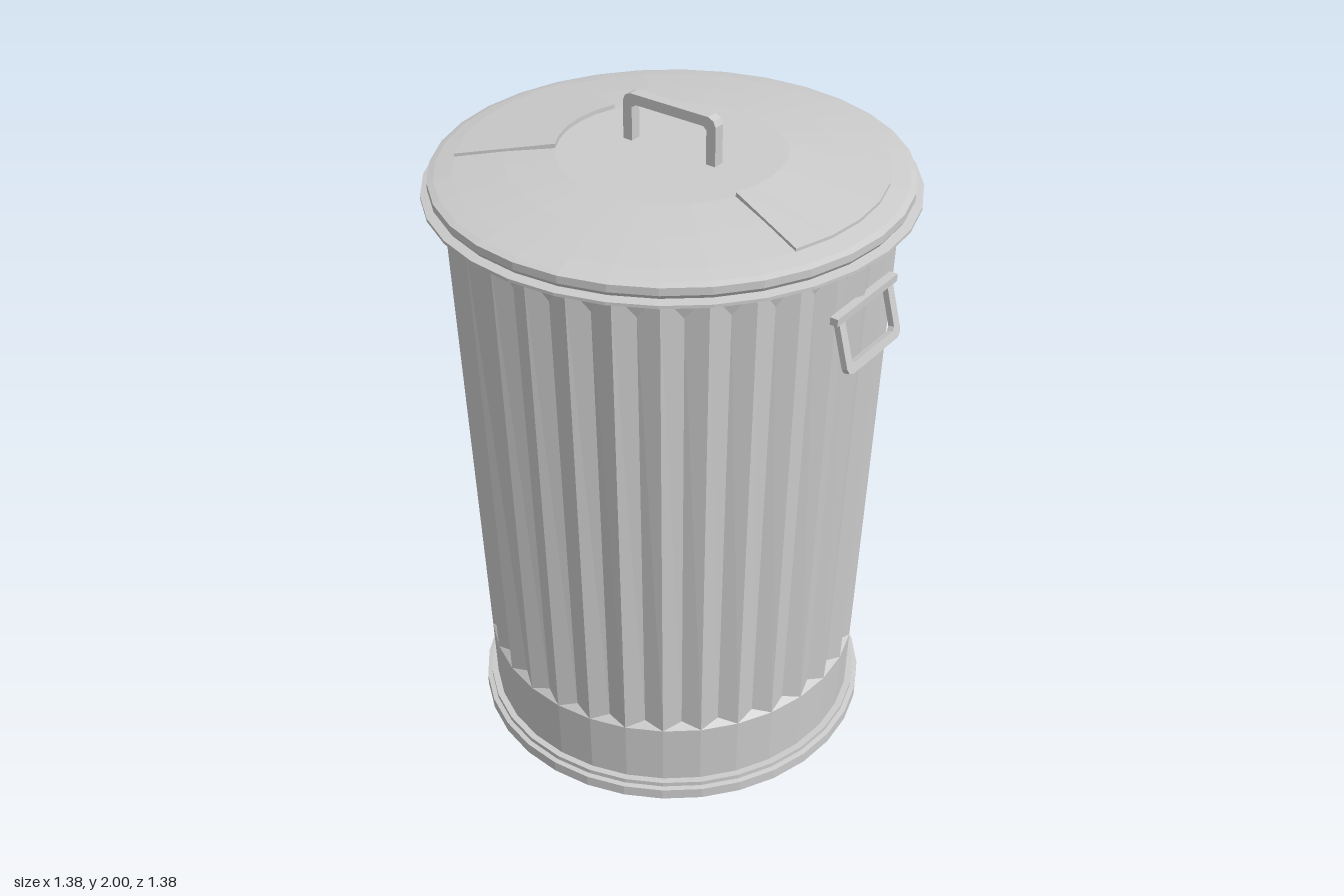
import * as THREE from 'three';

const SIDES = 32;
const vecs = (pts) => pts.map(([x, y]) => new THREE.Vector2(x, y));

const metal = new THREE.MeshStandardMaterial({ color: 0xcccccc, flatShading: true });
const metalDouble = new THREE.MeshStandardMaterial({ color: 0xcccccc, flatShading: true, side: THREE.DoubleSide });

// Faceted mesh with one normal per face
function part(name, geometry, material = metal) {
  const g = geometry.index ? geometry.toNonIndexed() : geometry;
  g.computeVertexNormals();
  const mesh = new THREE.Mesh(g, material);
  mesh.name = name;
  return mesh;
}

// Tapered wall: every second column is pulled in to form V-shaped flutes
function flutedWall() {
  const rows = [[0.57, 0.04], [0.577, 0.25], [0.577, 0.27], [0.632, 1.69], [0.633, 1.775]];
  const g = new THREE.LatheGeometry(vecs(rows), SIDES * 2);
  const pos = g.attributes.position;
  for (let i = 0; i < pos.count; i++) {
    const row = i % rows.length;
    const column = Math.floor(i / rows.length);
    const inFlute = row === 2 || row === 3;
    let [r, y] = rows[row];
    if (column % 2 === 0) {
      // ridges run straight from the lower band to the top ring
      if (inFlute) [r, y] = rows[row === 2 ? 1 : 4];
    } else {
      r = r * Math.cos(Math.PI / SIDES) - (inFlute ? 0.02 : 0);
    }
    const a = (column * Math.PI) / SIDES;
    pos.setXYZ(i, r * Math.sin(a), y, r * Math.cos(a));
  }
  return part('flutedWall', g, metalDouble);
}

// Raised sector plate on the lid, closed at both ends
function lidPlate(start) {
  const group = new THREE.Group();
  group.name = 'lidPlate';
  const sweep = (5 * Math.PI * 2) / SIDES;
  const loop = vecs([[0.32, 1.845], [0.6, 1.815], [0.6, 1.837], [0.32, 1.873]]);
  group.add(part('plateSurface', new THREE.LatheGeometry([...loop, loop[0]], 5, start, sweep), metalDouble));
  for (const phi of [start, start + sweep]) {
    const cap = new THREE.ShapeGeometry(new THREE.Shape(loop));
    cap.rotateY(phi - Math.PI / 2);
    group.add(part('plateEnd', cap, metalDouble));
  }
  return group;
}

// Upright grip: flat arch with bevelled corners
function lidHandle() {
  const arch = new THREE.Shape(vecs([
    [-0.155, 1.85], [-0.125, 1.85], [-0.125, 1.96], [-0.115, 1.97], [0.115, 1.97], [0.125, 1.96],
    [0.125, 1.85], [0.155, 1.85], [0.155, 1.975], [0.147, 1.992], [0.13, 2], [-0.13, 2],
    [-0.147, 1.992], [-0.155, 1.975],
  ]));
  const g = new THREE.ExtrudeGeometry(arch, { depth: 0.034, bevelEnabled: false });
  g.translate(0, 0, -0.017);
  return part('lidHandle', g);
}

// Hanging carry handle: wide hinge bar with a tilted loop below it
function sideHandle(name, angle) {
  const group = new THREE.Group();
  group.name = name;
  group.rotation.y = angle;
  const bar = part('hingeBar', new THREE.BoxGeometry(0.3, 0.022, 0.024));
  bar.position.set(0, 1.611, 0.628);
  const outline = new THREE.Shape(vecs([
    [-0.135, 0], [-0.135, -0.145], [-0.128, -0.16], [-0.113, -0.167],
    [0.113, -0.167], [0.128, -0.16], [0.135, -0.145], [0.135, 0],
  ]));
  outline.holes.push(new THREE.Path(vecs([
    [-0.107, -0.01], [0.107, -0.01], [0.107, -0.13], [0.097, -0.14], [-0.097, -0.14], [-0.107, -0.13],
  ])));
  const g = new THREE.ExtrudeGeometry(outline, { depth: 0.018, bevelEnabled: false });
  g.translate(0, 0, -0.009);
  const loop = part('handleLoop', g);
  loop.position.set(0, 1.611, 0.624);
  loop.rotation.x = -0.25;
  group.add(bar, loop);
  return group;
}

export function createModel() {
  const model = new THREE.Group();
  model.name = 'dustbin';

  // Body: stepped foot ring with closed bottom, then the fluted wall
  const foot = [[0, 0], [0.605, 0], [0.605, 0.034], [0.59, 0.036], [0.59, 0.05], [0.56, 0.05]];
  model.add(part('footRing', new THREE.LatheGeometry(vecs(foot), SIDES)), flutedWall());

  // Lid: thin flange, stepped rim and shallow dome
  const lid = new THREE.Group();
  lid.name = 'lid';
  const profile = [
    [0, 1.765], [0.69, 1.765], [0.69, 1.774], [0.662, 1.778], [0.67, 1.79], [0.67, 1.812],
    [0.652, 1.818], [0.6, 1.828], [0.46, 1.847], [0.32, 1.86], [0, 1.862],
  ];
  lid.add(part('lidShell', new THREE.LatheGeometry(vecs(profile), SIDES)));
  const plateStart = THREE.MathUtils.degToRad(67.5);
  lid.add(lidPlate(plateStart), lidPlate(plateStart + Math.PI), lidHandle());
  model.add(lid);

  model.add(sideHandle('leftHandle', Math.PI / 2), sideHandle('rightHandle', -Math.PI / 2));
  return model;
}
